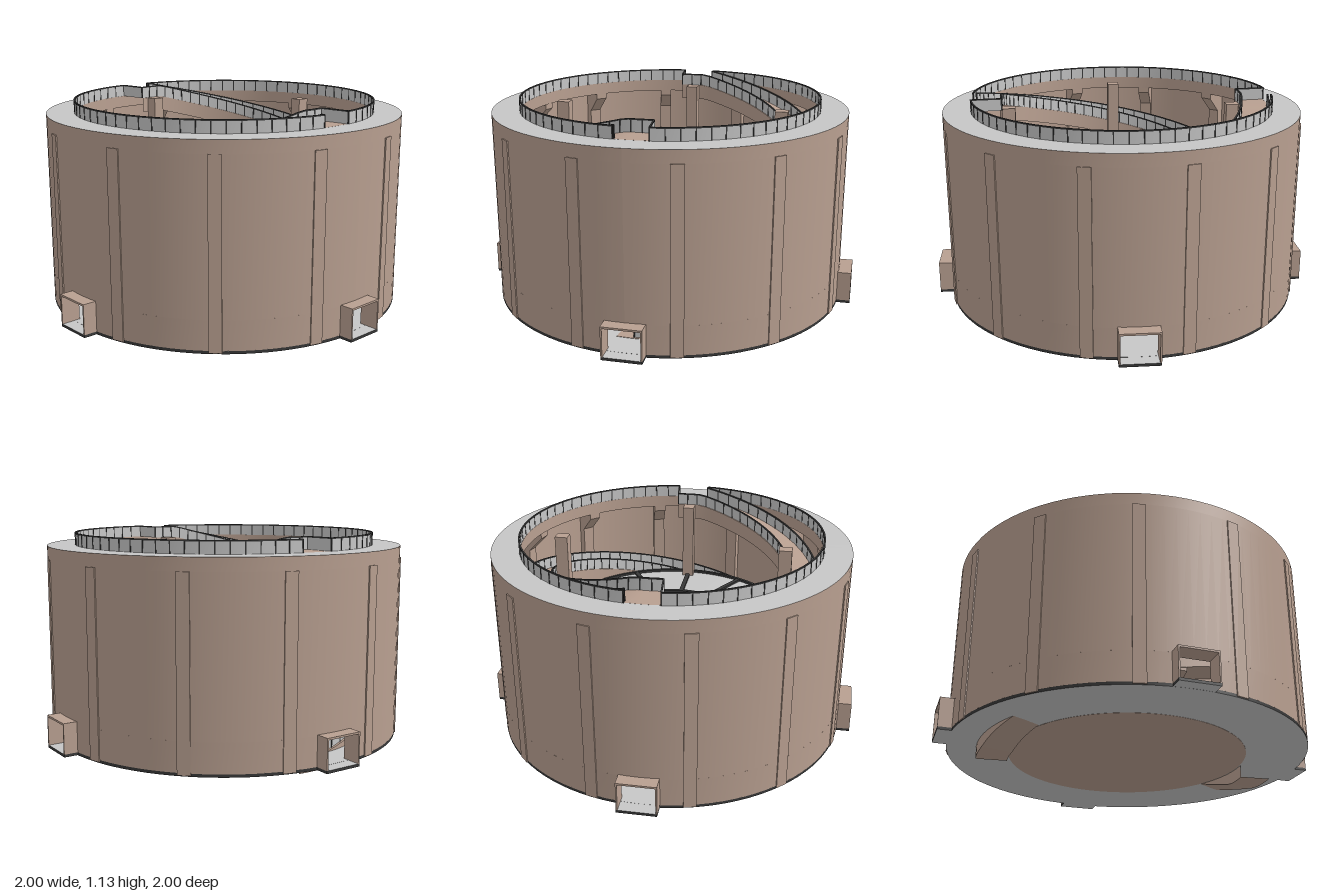
import * as THREE from 'three';
import { mergeGeometries } from 'three/addons/utils/BufferGeometryUtils.js';

const TURN = Math.PI * 2;
const mat = (name, color) => new THREE.MeshStandardMaterial({ name, color });

// Sweeps a rectangle (r0..r1, lo..hi) around the y axis from angle a0 to a1.
// Angle 0 faces the front and grows towards -x; yAt gives the height at each angle.
// Material groups: 0 top, 1 outer, 2 bottom, 3 inner.
function sweep(r0, r1, lo, hi, a0 = 0, a1 = TURN, yAt = () => 0) {
  const n = Math.max(1, Math.ceil((a1 - a0) / TURN * 96));
  const pos = [], index = [], g = new THREE.BufferGeometry();
  const A = [r0, lo], B = [r1, lo], C = [r1, hi], D = [r0, hi];
  const put = ([r, h], a) => pos.push(-r * Math.sin(a), yAt(a) + h, r * Math.cos(a));
  [[C, D], [B, C], [A, B], [D, A]].forEach(([p, q], side) => {
    const base = pos.length / 3, start = index.length;
    for (let i = 0; i <= n; i++) {
      const a = a0 + (a1 - a0) * i / n;
      put(p, a);
      put(q, a);
      if (i < n) {
        const k = base + i * 2;
        index.push(k, k + 1, k + 2, k + 1, k + 3, k + 2);
      }
    }
    g.addGroup(start, index.length - start, side);
  });
  if (a1 - a0 < TURN - 0.001) {
    const start = index.length;
    [[a0, true], [a1, false]].forEach(([a, flip]) => {
      const k = pos.length / 3;
      [A, B, C, D].forEach(c => put(c, a));
      index.push(...(flip ? [k, k + 2, k + 1, k, k + 3, k + 2] : [k, k + 1, k + 2, k, k + 2, k + 3]));
    });
    g.addGroup(start, index.length - start, 1);
  }
  g.setAttribute('position', new THREE.Float32BufferAttribute(pos, 3));
  g.setIndex(index);
  g.computeVertexNormals();
  return g;
}

export function createModel() {
  const brown = mat('warm stone', 0xb89f90);
  const grey = mat('light grey', 0xc6c6c6);
  const dark = mat('dark metal', 0x383838);
  const model = new THREE.Group();

  const add = (parent, name, geometry, material) => {
    const m = new THREE.Mesh(geometry, material);
    m.name = name;
    parent.add(m);
    return m;
  };
  // Box given by its extents, with x as the radial direction
  const box = (x0, x1, y0, y1, w) =>
    new THREE.BoxGeometry(x1 - x0, y1 - y0, w).translate((x0 + x1) / 2, (y0 + y1) / 2, 0);
  // Radial profile extruded sideways to a given width
  const wedge = (points, w) => new THREE.ExtrudeGeometry(
    new THREE.Shape(points.map(p => new THREE.Vector2(...p))),
    { depth: w, bevelEnabled: false }).translate(0, 0, -w / 2);
  const atAngle = (mesh, a) => { mesh.rotation.y = -a - Math.PI / 2; };

  // Railing: pale panels, dark posts, dark top bar
  const rail = (parent, name, r, a0, a1, yAt) => {
    const g = new THREE.Group();
    g.name = name;
    parent.add(g);
    add(g, 'railPanels', sweep(r - 0.002, r + 0.002, 0, 0.06, a0, a1, yAt), [grey, grey, grey, grey]);
    const n = Math.round((a1 - a0) / (TURN / 72)), half = 0.003 / r;
    const bits = [sweep(r - 0.004, r + 0.004, 0.058, 0.065, a0, a1, yAt)];
    for (let i = 0; i <= n; i++) {
      const a = a0 + (a1 - a0) * i / n;
      bits.push(sweep(r - 0.004, r + 0.004, 0, 0.063, a - half, a + half, yAt));
    }
    add(g, 'railPosts', mergeGeometries(bits), dark);
  };

  // Outer wall, open at four portals
  const cut = 0.108, quarter = Math.PI / 2;
  const all = m => [m, m, m, m];
  add(model, 'outerWall', sweep(0.92, 0.935, 0.23, 1.0), all(brown));
  for (let k = 0; k < 4; k++) {
    add(model, 'lowerWall', sweep(0.92, 0.935, 0.08, 0.23, k * quarter + cut, (k + 1) * quarter - cut), all(brown));
  }
  // Top gallery and ground slab
  add(model, 'topGallery', sweep(0.785, 0.935, 1.0, 1.065), [grey, brown, brown, brown]);
  add(model, 'groundSlab', sweep(0.6, 0.935, 0.065, 0.08), [grey, dark, grey, grey]);

  // Portals with floor, jambs and lintel
  for (let k = 0; k < 4; k++) {
    const portal = new THREE.Group();
    portal.name = 'portal';
    atAngle(portal, k * quarter);
    model.add(portal);
    add(portal, 'portalFloor', box(0.92, 1, 0.0655, 0.0795, 0.2), [dark, dark, grey, grey, dark, dark]);
    add(portal, 'lintel', box(0.9, 1, 0.225, 0.235, 0.2), brown);
    for (const s of [-1, 1]) {
      add(portal, 'jamb', box(0.9, 1, 0.0795, 0.225, 0.008).translate(0, 0, s * 0.096), brown);
    }
  }

  // Wall piers with brackets carrying the gallery
  for (let k = 0; k < 12; k++) {
    const a = (k + 0.5) * TURN / 12;
    atAngle(add(model, 'pier', box(0.875, 0.94, 0.07, 1.0, 0.064), brown), a);
    atAngle(add(model, 'pierBracket',
      wedge([[0.79, 1.0], [0.79, 0.97], [0.88, 0.88], [0.88, 1.0]], 0.064), brown), a);
  }

  // Central drum with beamed roof
  add(model, 'drum', new THREE.CylinderGeometry(0.62, 0.62, 0.571, 96).translate(0, 0.3495, 0), brown);
  add(model, 'drumRoof', new THREE.CylinderGeometry(0.622, 0.622, 0.01, 96).translate(0, 0.637, 0), grey);
  add(model, 'hubRing', sweep(0.302, 0.322, 0.635, 0.655), all(dark));
  add(model, 'roofRim', sweep(0.612, 0.628, 0.625, 0.655), all(dark));
  for (let k = 0; k < 12; k++) {
    atAngle(add(model, 'roofBeam', box(0.315, 0.62, 0.635, 0.653, 0.024), dark), k * TURN / 12);
  }
  for (let k = 0; k < 4; k++) {
    atAngle(add(model, 'column', box(0.56, 0.628, 0.07, 1.065, 0.062), brown), k * quarter);
  }

  // Two interleaved full-turn ramps with level landings
  const land = 0.11, top = 1.065, bottom = 0.082;
  const rampY = a => top - (top - bottom) *
    THREE.MathUtils.clamp((a - land) / (TURN - 2 * land), 0, 1);
  for (let k = 0; k < 2; k++) {
    const ramp = new THREE.Group();
    ramp.name = 'ramp';
    ramp.rotation.y = k * Math.PI;
    model.add(ramp);
    add(ramp, 'rampDeck', sweep(0.625, 0.784, -0.082, 0, -land, TURN + land, rampY), all(brown));
    rail(ramp, 'innerRail', 0.632, -land, TURN, rampY);
    rail(ramp, 'outerRail', 0.77, land, TURN, rampY);
    // Barrier across the closed end of the upper landing
    atAngle(add(ramp, 'endPanel', box(0.632, 0.785, top, top + 0.06, 0.004), grey), -land);
    atAngle(add(ramp, 'endBar', box(0.632, 0.785, top + 0.058, top + 0.065, 0.008), dark), -land);
    // Brackets from the columns to the ramp
    for (let j = 1; j < 4; j++) {
      const y = rampY(j * quarter) - 0.065;
      atAngle(add(ramp, 'rampBracket',
        wedge([[0.61, y], [0.61, y - 0.075], [0.78, y - 0.03], [0.78, y]], 0.062), brown), j * quarter);
    }
    // Half of the gallery railing
    rail(ramp, 'galleryRail', 0.788, land, Math.PI - land, () => top);
  }
  return model;
}
